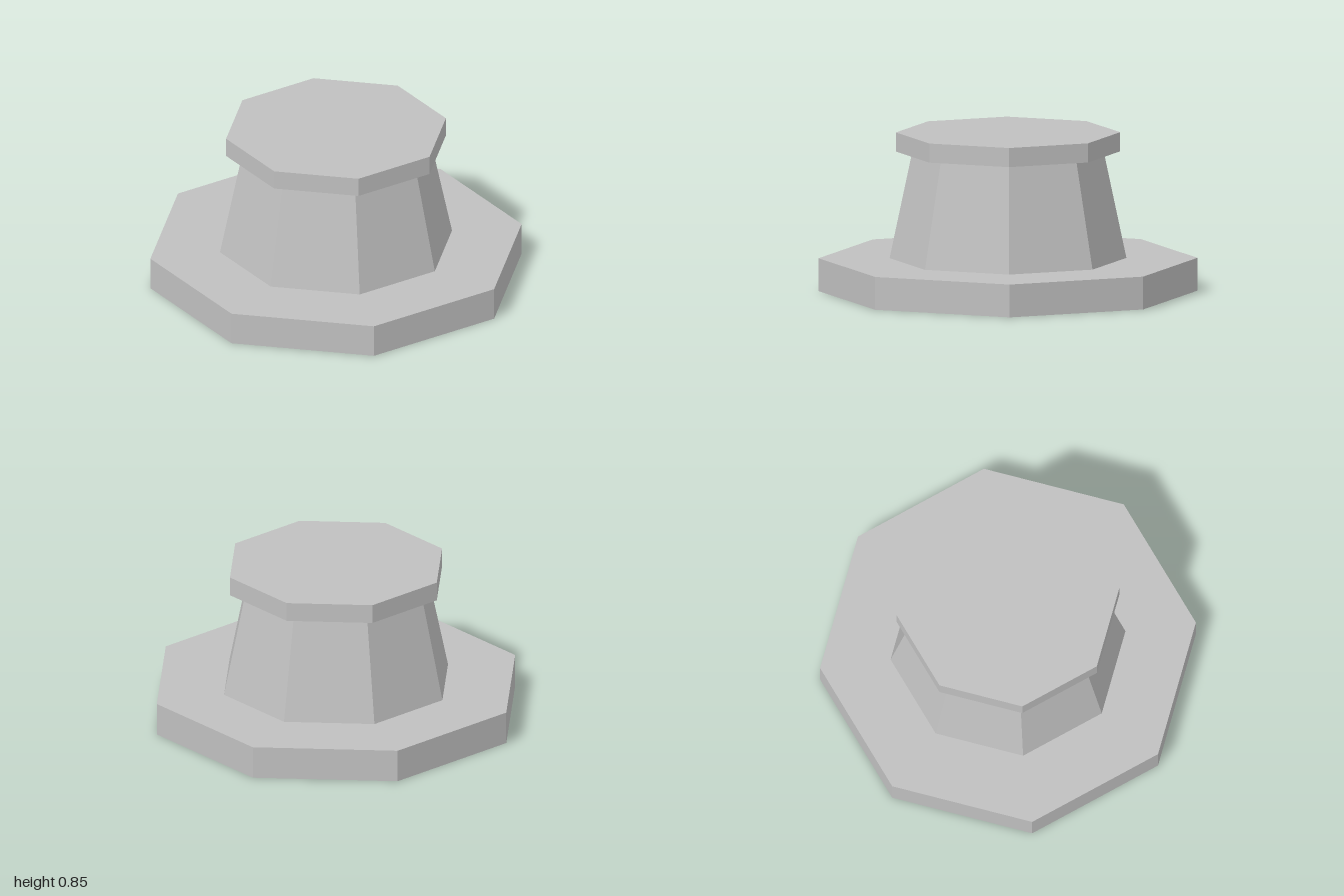
import * as THREE from 'three';

export function createModel() {
  const model = new THREE.Group();
  model.name = 'octagonalPedestal';

  const grey = new THREE.MeshStandardMaterial({ color: 0xc0c0c0 });
  grey.name = 'light grey';

  // Eight-sided tier with corners on the x and z axes
  function addTier(name, topRadius, bottomRadius, y0, y1) {
    const smooth = new THREE.CylinderGeometry(topRadius, bottomRadius, y1 - y0, 8);
    const geometry = smooth.toNonIndexed();
    geometry.computeVertexNormals(); // flat facets
    const mesh = new THREE.Mesh(geometry, grey);
    mesh.name = name;
    mesh.position.y = (y0 + y1) / 2;
    model.add(mesh);
  }

  addTier('basePlate', 1, 1, 0, 0.175);
  addTier('taperedBody', 0.505, 0.625, 0.175, 0.743);
  addTier('topCap', 0.592, 0.592, 0.743, 0.845);

  return model;
}
